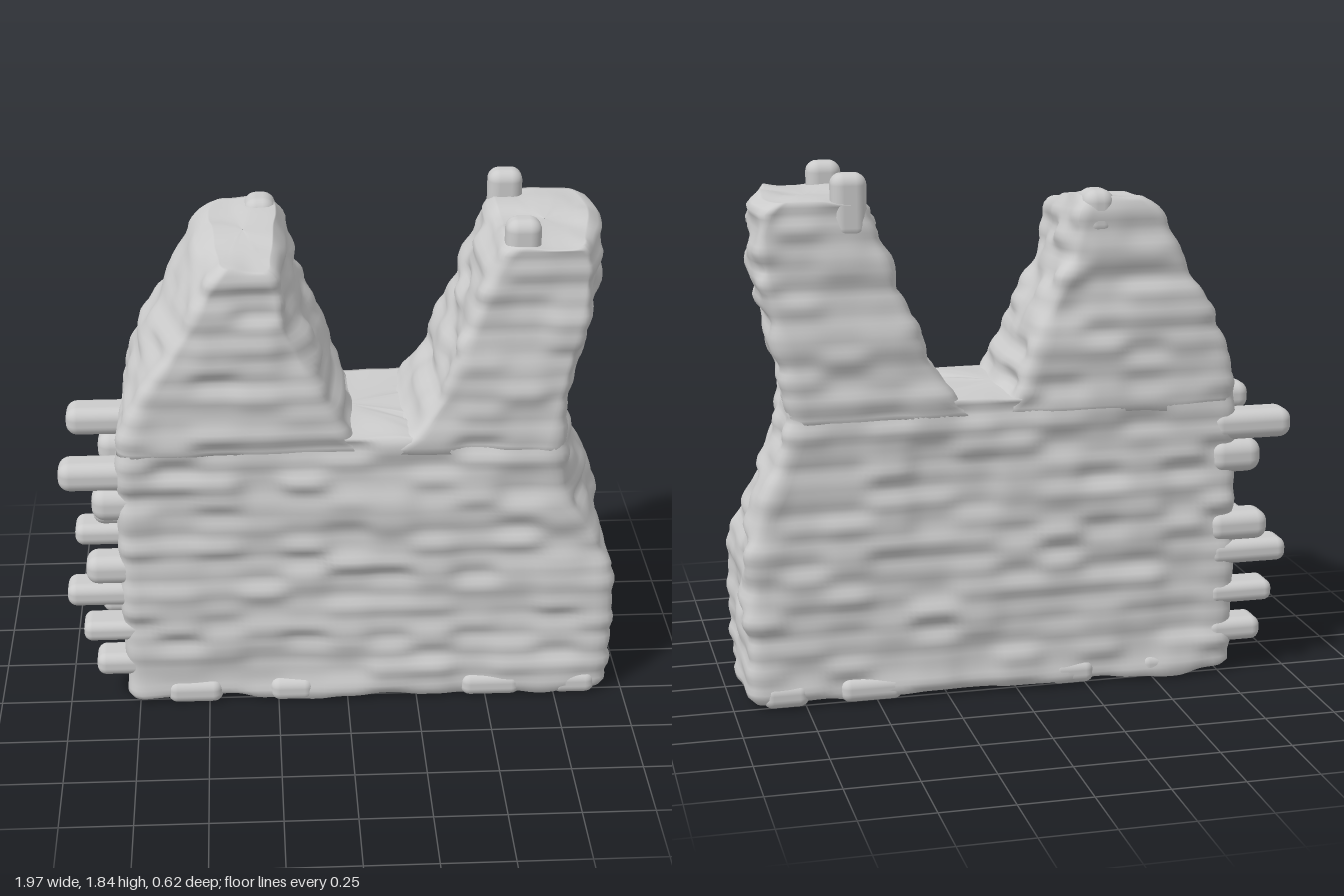
import * as THREE from 'three';
import { RoundedBoxGeometry } from 'three/addons/geometries/RoundedBoxGeometry.js';

const { clamp, lerp } = THREE.MathUtils;
const material = new THREE.MeshStandardMaterial({ color: 0xcccccc, roughness: 0.9 });

// Repeatable value noise
function hash(i, j, k) {
  const s = Math.sin(i * 127.1 + j * 311.7 + k * 74.7) * 43758.5453;
  return (s - Math.floor(s)) * 2 - 1;
}
const soft = (t) => t * t * (3 - 2 * t);
function noise(x, y, z) {
  const i = Math.floor(x), j = Math.floor(y), k = Math.floor(z);
  const fx = soft(soft(x - i)), fy = soft(y - j), fz = soft(soft(z - k));
  const row = (b, c) => lerp(hash(i, j + b, k + c), hash(i + 1, j + b, k + c), fx);
  return lerp(lerp(row(0, 0), row(1, 0), fy), lerp(row(0, 1), row(1, 1), fy), fz);
}

// Worn masonry: long lumps in courses, with shallow joints between courses
function relief(x, y, z) {
  const course = 0.085;
  const lumps = noise(x / 0.15, y / (course * 0.75), z / 0.15);
  const broad = noise(x / 0.3 + 9, y / 0.2, z / 0.3 + 5);
  const joint = Math.abs(Math.sin((Math.PI * y) / course)) - 0.6;
  return 0.62 * lumps + 0.3 * broad + 0.25 * joint;
}

// Interpolates rows of [y, left x, right x, front inset left, front inset right]
function sample(rows, y) {
  let i = 0;
  while (i < rows.length - 2 && y > rows[i + 1][0]) i++;
  const a = rows[i], b = rows[i + 1];
  const t = clamp((y - a[0]) / (b[0] - a[0]), 0, 1);
  return a.map((v, n) => lerp(v, b[n], t));
}

// Stacks rounded rectangular rings up a profile and closes both ends
function masonry(name, rows, hz, nx, { leftRelief = 0.035, tilt = 0 } = {}) {
  const nz = 26, r = 0.05;
  const ring = [];
  for (let i = 0; i < nx; i++) ring.push([-1 + (2 * i) / nx, 1]);
  for (let i = 0; i < nz; i++) ring.push([1, 1 - (2 * i) / nz]);
  for (let i = 0; i < nx; i++) ring.push([1 - (2 * i) / nx, -1]);
  for (let i = 0; i < nz; i++) ring.push([-1, -1 + (2 * i) / nz]);

  const y0 = rows[0][0], y1 = rows[rows.length - 1][0];
  const levels = [];
  for (const s of [0.01, 0.3, 0.6, 0.8, 0.92]) levels.push([y0, s]);
  const steps = Math.round((y1 - y0) / 0.018);
  for (let i = 0; i <= steps; i++) {
    levels.push([lerp(y0, y1, i / steps), i === 0 || i === steps ? 0.985 : 1]);
  }
  for (const s of [0.94, 0.85, 0.7, 0.5, 0.25, 0.01]) levels.push([y1, s]);

  const positions = [], index = [];
  const n = ring.length;
  levels.forEach(([y, s], l) => {
    const [, xl, xr, insetL, insetR] = sample(rows, y);
    const hx = (xr - xl) / 2, cx = (xl + xr) / 2;
    ring.forEach(([a, b], k) => {
      // Round the corner, then push along the outward direction
      let x = a * hx, z = b * hz;
      const qx = clamp(x, r - hx, hx - r), qz = clamp(z, r - hz, hz - r);
      const d = Math.hypot(x - qx, z - qz) || 1;
      const dx = (x - qx) / d, dz = (z - qz) / d;
      x = qx + dx * r;
      z = qz + dz * r;
      const front = soft(clamp((z / hz + 0.2) / 1.2, 0, 1));
      x -= (x / hx) * front * (a < 0 ? insetL : insetR);
      const h = relief(x + cx, y, z);
      x += dx * h * (a < 0 ? leftRelief : 0.035);
      z += dz * h * 0.026;
      // Ends stay gently uneven
      const cap = s < 1 ? 0.018 * noise((cx + x * s) / 0.14, 3.3, (z * s) / 0.14) : 0;
      const lean = tilt * (z / hz) * s * clamp((y - y1 + 0.25) / 0.25, 0, 1);
      positions.push(cx + x * s, y + cap - lean, z * s);
      if (l < levels.length - 1) {
        const p = l * n + k, q = l * n + ((k + 1) % n);
        index.push(p, q, p + n, q, q + n, p + n);
      }
    });
  });
  const geo = new THREE.BufferGeometry();
  geo.setAttribute('position', new THREE.Float32BufferAttribute(positions, 3));
  geo.setIndex(index);
  geo.computeVertexNormals();
  const mesh = new THREE.Mesh(geo, material);
  mesh.name = name;
  return mesh;
}

// Single worn brick given by its limits
function brick(name, x0, x1, y0, y1, z0, z1) {
  const w = x1 - x0, h = y1 - y0, d = z1 - z0;
  const geo = new RoundedBoxGeometry(w, h, d, 4, Math.min(w, h, d) * 0.4);
  const mesh = new THREE.Mesh(geo, material);
  mesh.position.set((x0 + x1) / 2, (y0 + y1) / 2, (z0 + z1) / 2);
  mesh.name = name;
  return mesh;
}

export function createModel() {
  const group = new THREE.Group();
  group.name = 'ruinedWall';

  // Lower wall, up to the bottom of the breach
  group.add(masonry('lowerWall', [
    [0.025, -0.79, 0.94, 0, 0], [0.35, -0.8, 0.95, 0, 0], [0.55, -0.8, 0.94, 0, 0],
    [0.68, -0.8, 0.91, 0, 0.03], [0.78, -0.8, 0.86, 0, 0.07], [0.95, -0.8, 0.8, 0, 0.05],
    [1.06, -0.79, 0.79, 0.01, 0.05],
  ], 0.285, 76, { leftRelief: 0.01 }));

  // Two broken stumps either side of the breach
  group.add(masonry('leftStump', [
    [1.0, -0.795, 0.08, 0.005, 0], [1.06, -0.79, 0.01, 0.01, 0], [1.2, -0.76, -0.04, 0.03, 0.02],
    [1.35, -0.69, -0.09, 0.06, 0.04], [1.5, -0.6, -0.16, 0.06, 0.04], [1.62, -0.54, -0.19, 0.05, 0.02],
    [1.68, -0.5, -0.21, 0.04, 0.01], [1.71, -0.46, -0.23, 0.03, 0.01],
  ], 0.288, 40, { leftRelief: 0.03, tilt: 0.03 }));
  group.add(masonry('rightStump', [
    [1.0, 0.12, 0.79, 0, 0.05], [1.06, 0.21, 0.79, 0, 0.05], [1.2, 0.3, 0.81, 0, 0.05],
    [1.35, 0.36, 0.85, 0, 0.06], [1.5, 0.41, 0.89, 0, 0.07], [1.65, 0.46, 0.9, 0, 0.07],
    [1.72, 0.5, 0.87, 0, 0.05], [1.75, 0.53, 0.83, 0, 0.04],
  ], 0.288, 36));

  // Toothed bricks left on the broken end, along both faces: [tip x, bottom, top]
  const teeth = [
    [-1.0, 0.86, 0.965], [-0.89, 0.74, 0.86], [-0.92, 0.49, 0.595],
    [-0.99, 0.405, 0.49], [-0.94, 0.26, 0.335], [-0.9, 0.115, 0.2],
  ];
  for (const [tip, bottom, top] of teeth) {
    group.add(brick('frontToothBrick', tip, -0.7, bottom, top, 0.15, 0.275));
    group.add(brick('backToothBrick', tip, -0.7, bottom, top, -0.295, -0.16));
  }

  // Loose bricks standing on the stumps
  group.add(brick('frontTopBrick', 0.52, 0.64, 1.62, 1.83, 0.17, 0.27));
  group.add(brick('backTopBrick', 0.51, 0.63, 1.62, 1.84, -0.28, -0.18));
  group.add(brick('leftTopBrick', -0.34, -0.23, 1.6, 1.76, -0.29, -0.15));

  // Foot stones bulging under the bottom edge
  for (const [x, w] of [[-0.55, 0.2], [-0.2, 0.16], [0.52, 0.22], [0.82, 0.16]]) {
    group.add(brick('footStone', x - w / 2, x + w / 2, 0.0, 0.09, 0.17, 0.295));
    group.add(brick('footStone', x - w / 2, x + w / 2, 0.005, 0.09, -0.295, -0.17));
  }
  return group;
}
